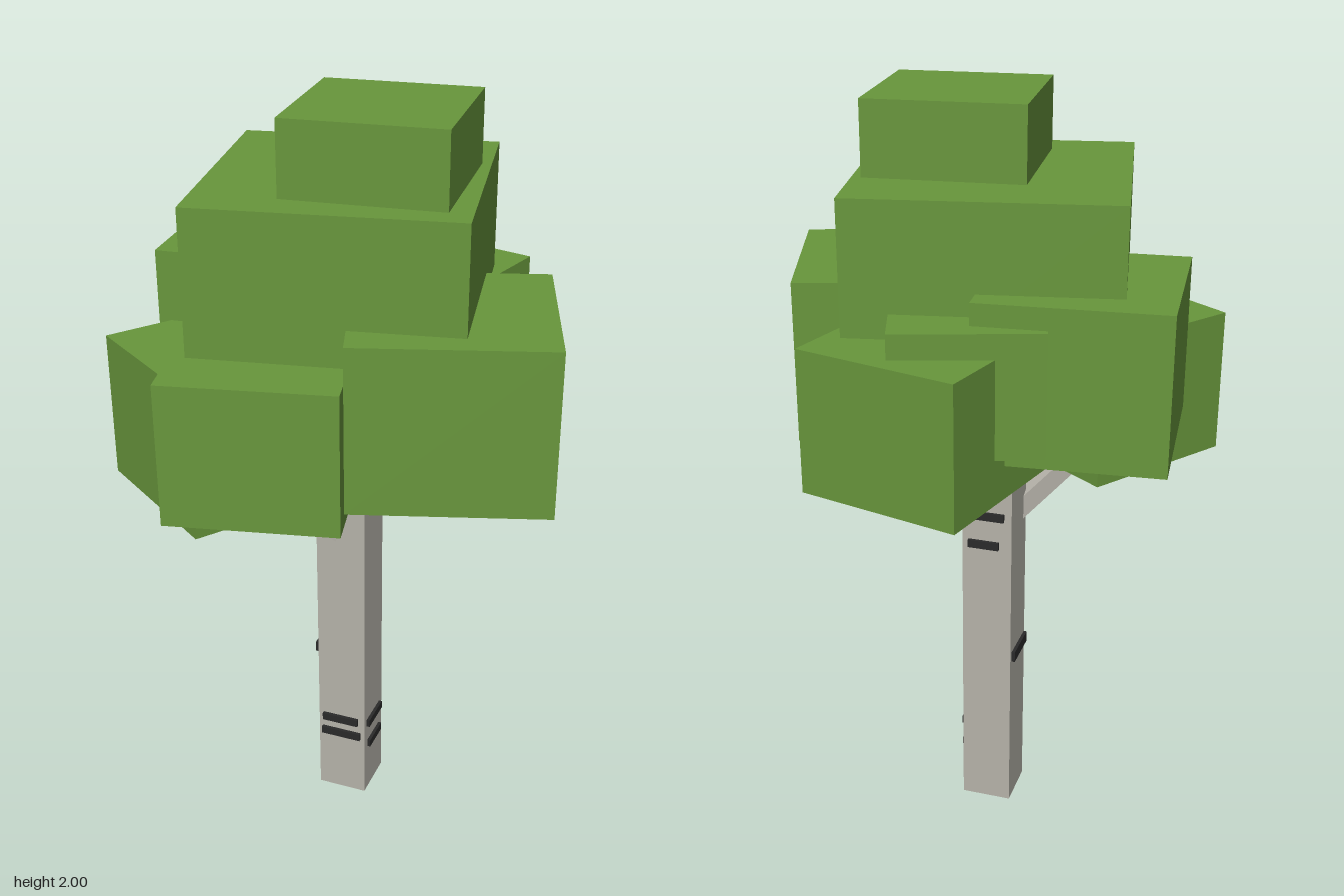
import * as THREE from 'three';

export function createModel() {
  const tree = new THREE.Group();
  tree.name = 'tree';

  const material = (name, color) => {
    const m = new THREE.MeshStandardMaterial({ color });
    m.name = name;
    return m;
  };
  const leafGreen = material('leaf green', 0x68963c);
  const barkGrey = material('bark grey', 0xb5b2a9);
  const markBlack = material('bark mark black', 0x2a2a2a);

  const addBox = (name, mat, size, position, yaw = 0) => {
    const mesh = new THREE.Mesh(new THREE.BoxGeometry(...size), mat);
    mesh.name = name;
    mesh.position.set(...position);
    mesh.rotation.y = yaw;
    tree.add(mesh);
    return mesh;
  };

  // Foliage blocks: name, centre x, centre z, width, bottom, top, yaw
  const foliage = [
    ['foliageCrown', 0.064, 0.048, 0.399, 1.66, 2.0, 0.113],
    ['foliageMain', -0.037, 0.016, 0.664, 1.25, 1.815, 0.197],
    ['foliageLeft', 0.268, 0.114, 0.493, 1.12, 1.545, 0.317],
    ['foliageRight', -0.302, -0.118, 0.466, 1.204, 1.6, 0.103],
    ['foliageFront', -0.137, 0.315, 0.431, 1.085, 1.45, 0.229],
    ['foliageFrontRight', -0.284, 0.231, 0.428, 1.037, 1.416, -0.61],
    ['foliageBack', 0.033, -0.318, 0.431, 1.118, 1.483, -0.246],
    ['foliageBackUpper', -0.049, -0.255, 0.365, 1.235, 1.545, 0.315],
  ];
  for (const [name, x, z, width, bottom, top, yaw] of foliage) {
    addBox(name, leafGreen, [width, top - bottom, width], [x, (bottom + top) / 2, z], yaw);
  }

  // Square trunk
  const trunk = { x: -0.037, z: 0.02, width: 0.137, height: 1.4 };
  addBox('trunk', barkGrey, [trunk.width, trunk.height, trunk.width], [trunk.x, trunk.height / 2, trunk.z]);

  // Slanting branches reaching into the foliage
  const addBranch = (name, from, to, width) => {
    const a = new THREE.Vector3(...from);
    const b = new THREE.Vector3(...to);
    const branch = addBox(name, barkGrey, [width, width, a.distanceTo(b)], [0, 0, 0]);
    branch.position.copy(a).add(b).multiplyScalar(0.5);
    branch.lookAt(b);
  };
  addBranch('frontBranch', [-0.03, 0.825, 0.043], [-0.35, 1.145, 0.267], 0.052);
  addBranch('backBranch', [-0.055, 1.05, -0.01], [-0.035, 1.25, -0.21], 0.05);

  // Bark marks: thin bars on the four trunk sides
  const bar = 0.022, depth = 0.009;
  const half = (trunk.width + depth) / 2;
  const marks = [
    ['front', -0.04, 0.243, 0.105, bar], ['front', -0.038, 0.195, 0.115, bar],
    ['back', -0.03, 0.902, 0.11, bar], ['back', -0.028, 0.817, 0.085, bar],
    ['left', 0.02, 0.232, 0.1, bar], ['left', 0.02, 0.158, 0.09, bar],
    ['right', 0.025, 0.471, 0.12, 0.03],
  ];
  for (const [side, along, y, length, height] of marks) {
    const facesZ = side === 'front' || side === 'back';
    const out = side === 'front' || side === 'left' ? half : -half;
    addBox(
      `${side}BarkMark`, markBlack,
      facesZ ? [length, height, depth] : [depth, height, length],
      facesZ ? [along, y, trunk.z + out] : [trunk.x + out, y, along],
    );
  }

  return tree;
}
